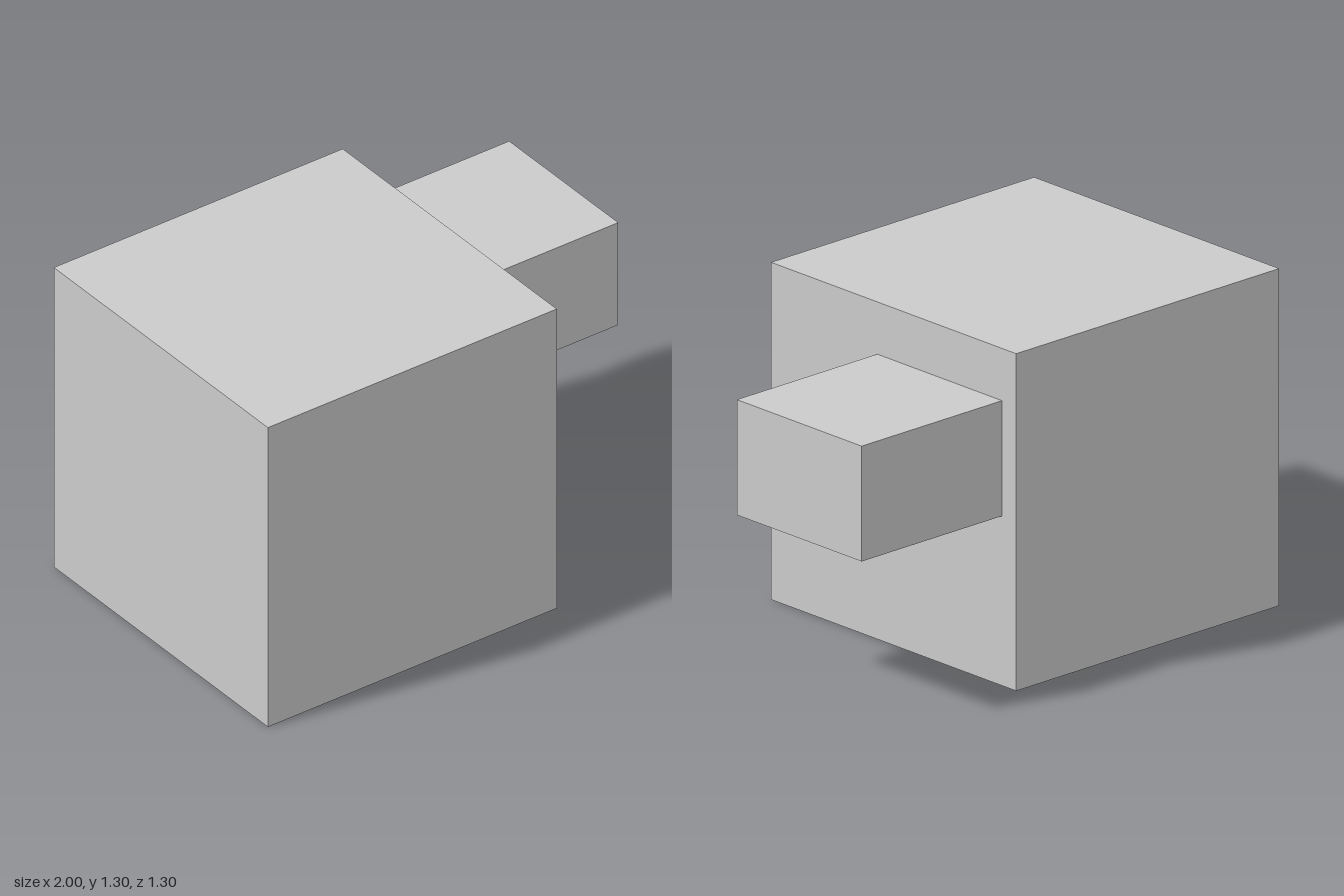
import * as THREE from 'three';

// Box spanning two opposite corners
function block(name, min, max, material) {
  const size = max.map((v, i) => v - min[i]);
  const mesh = new THREE.Mesh(new THREE.BoxGeometry(...size), material);
  mesh.position.set(...max.map((v, i) => (v + min[i]) / 2));
  mesh.name = name;
  return mesh;
}

export function createModel() {
  const group = new THREE.Group();
  group.name = 'cubeWithSideBlock';
  const grey = new THREE.MeshStandardMaterial({ color: 0xcccccc, flatShading: true });

  // Large cube
  group.add(block('mainCube', [-1, 0, -0.652], [0.304, 1.304, 0.652], grey));
  // Smaller block standing out from the cube's left side, towards the back
  group.add(block('sideBlock', [0.304, 0.656, -0.577], [1, 1.102, 0.087], grey));

  return group;
}
